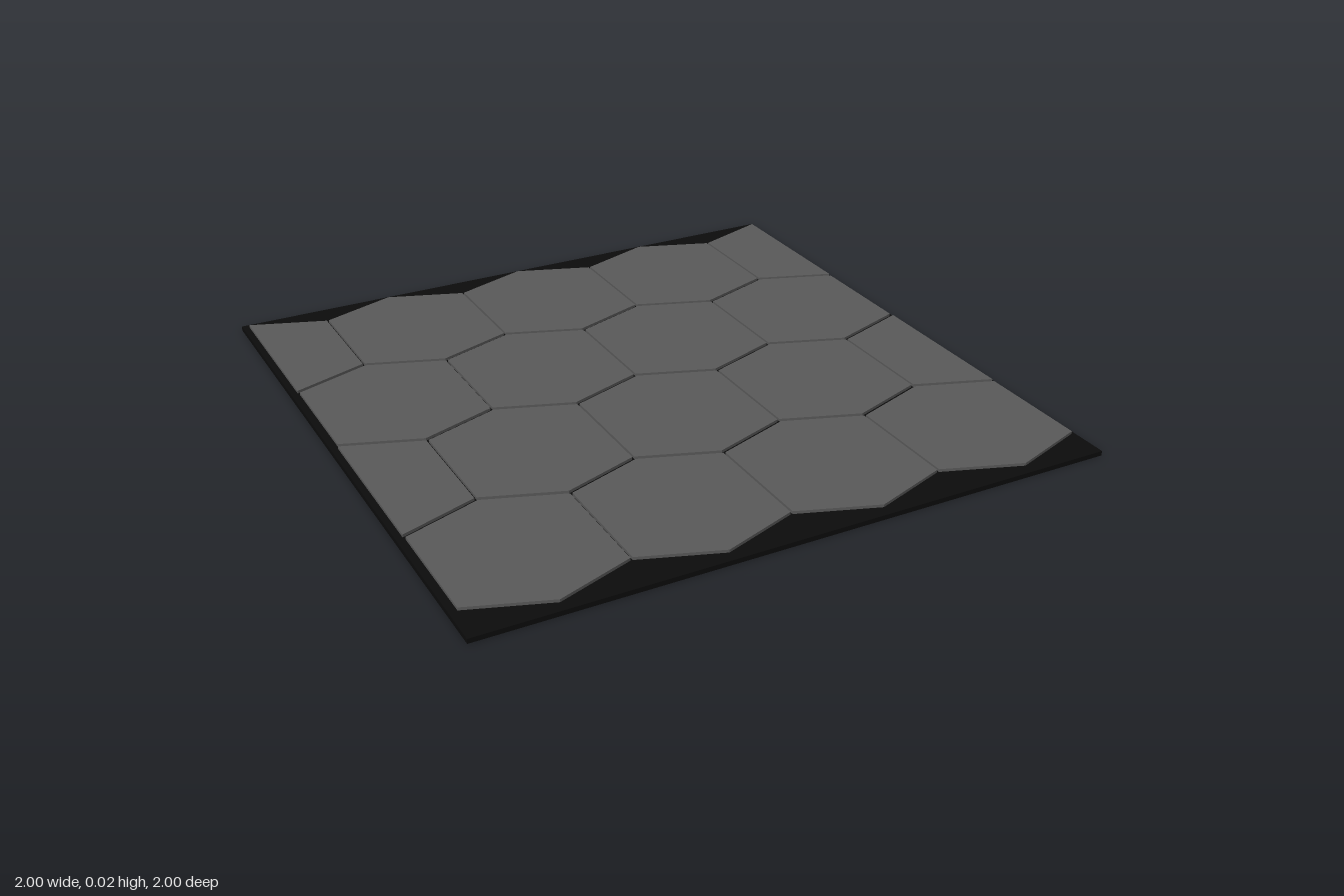
import * as THREE from 'three';

const PITCH_X = 0.493, PITCH_Z = 0.468;
const HALF_W = 0.243, APEX = 0.27, SHOULDER = 0.184;
const BASE_H = 0.015, TILE_TOP = 0.024;

// Hexagonal tile with points toward +z and -z; a half tile keeps only one side.
function tileGeometry(left, right) {
  const points = [[0, APEX]];
  if (left) points.push([-HALF_W, SHOULDER], [-HALF_W, -SHOULDER]);
  points.push([0, -APEX]);
  if (right) points.push([HALF_W, -SHOULDER], [HALF_W, SHOULDER]);
  const shape = new THREE.Shape(points.map(([x, y]) => new THREE.Vector2(x, y)));
  const geometry = new THREE.ExtrudeGeometry(shape, { depth: TILE_TOP - BASE_H, bevelEnabled: false });
  return geometry.rotateX(-Math.PI / 2);
}

export function createModel() {
  const model = new THREE.Group();
  model.name = 'hexTileFloor';
  const groutMaterial = new THREE.MeshStandardMaterial({ color: 0x0c0c0c });
  const tileMaterial = new THREE.MeshStandardMaterial({ color: 0x5a5a5a });

  // Square backing slab
  const base = new THREE.Mesh(new THREE.BoxGeometry(2, BASE_H, 2), groutMaterial);
  base.name = 'baseSlab';
  base.position.y = BASE_H / 2;
  model.add(base);

  const full = tileGeometry(true, true);
  const leftHalf = tileGeometry(true, false);
  const rightHalf = tileGeometry(false, true);

  // Four staggered rows; alternate rows start and end with half tiles
  const tiles = new THREE.Group();
  tiles.name = 'tiles';
  for (let row = 0; row < 4; row++) {
    const split = row % 2 === 0;
    const count = split ? 5 : 4;
    for (let i = 0; i < count; i++) {
      let geometry = full;
      if (split && i === 0) geometry = rightHalf;
      if (split && i === count - 1) geometry = leftHalf;
      const tile = new THREE.Mesh(geometry, tileMaterial);
      tile.name = geometry === full ? 'hexTile' : 'halfHexTile';
      tile.position.set(0.007 + (i - (count - 1) / 2) * PITCH_X, BASE_H, -0.71 + row * PITCH_Z);
      tiles.add(tile);
    }
  }
  model.add(tiles);
  return model;
}
